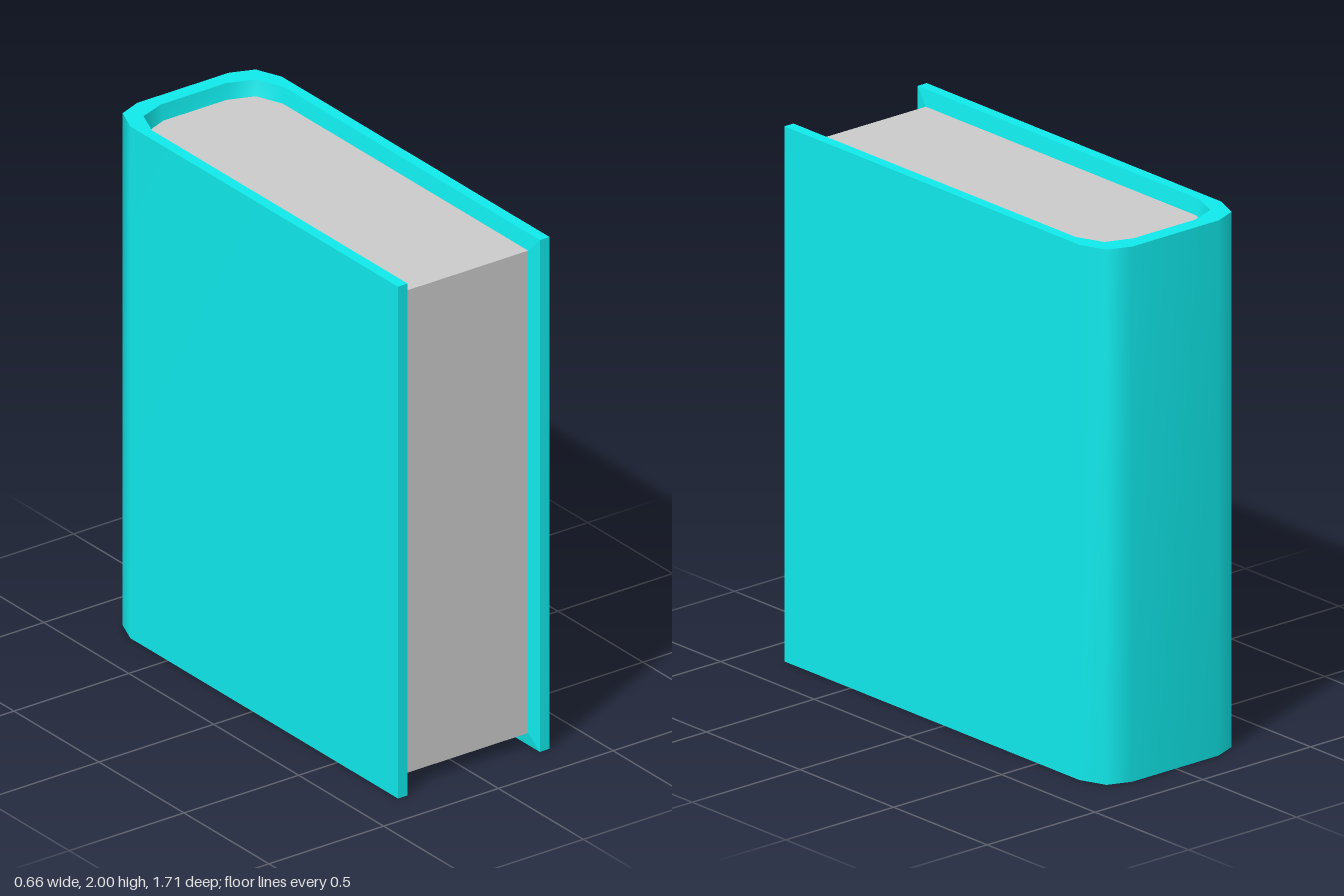
import * as THREE from 'three';
import { mergeGeometries } from 'three/addons/utils/BufferGeometryUtils.js';

const H = 2, PAGE_LOW = 0.055, PAGE_HIGH = 1.94;

// Half outlines in (x, z), running from the open edge back to the spine
const OUTER = [[0.33, 0.855], [0.33, -0.72], [0.29, -0.82], [0.2, -0.855]];
const RIM = [[0.288, 0.855], [0.288, -0.65], [0.245, -0.757], [0.142, -0.795]];
const PAGE = [[0.278, 0.8], [0.278, -0.645], [0.236, -0.747], [0.138, -0.785]];

const mirrored = (half) => [...half, ...half.map(([x, z]) => [-x, z]).reverse()];
const at = (outline, y) => outline.map(([x, z]) => [x, y, z]);

// Surface between two polylines with the same number of points
function strip(a, b) {
  const n = a.length, index = [];
  for (let i = 0; i < n - 1; i++) index.push(i, i + 1, n + i + 1, i, n + i + 1, n + i);
  const g = new THREE.BufferGeometry();
  g.setAttribute('position', new THREE.Float32BufferAttribute([...a, ...b].flat(), 3));
  g.setIndex(index);
  g.computeVertexNormals();
  return g;
}

export function createModel() {
  const group = new THREE.Group();
  const outer = mirrored(OUTER), rim = mirrored(RIM), page = mirrored(PAGE);

  // Cover: outer wall, top and bottom rims, and bevels leading in to the pages
  const parts = [
    strip(at(outer, 0), at(outer, H)),
    strip(at(outer, H), at(rim, H)),
    strip(at(rim, 0), at(outer, 0)),
    strip(at(rim, H), at(page, PAGE_HIGH)),
    strip(at(page, PAGE_LOW), at(rim, 0)),
  ];

  // Open edges of both boards, with their inner bevels
  for (const [o, r, p, flip] of [
    [outer[0], rim[0], page[0], false],
    [outer.at(-1), rim.at(-1), page.at(-1), true],
  ]) {
    const edge = flip ? [o, r] : [r, o];
    const bevelLow = [...at([p], PAGE_LOW), ...at([r], 0)];
    const bevelHigh = [...at([p], PAGE_HIGH), ...at([r], H)];
    if (flip) {
      bevelLow.reverse();
      bevelHigh.reverse();
    }
    parts.push(strip(at(edge, 0), at(edge, H)), strip(bevelLow, bevelHigh));
  }
  const cover = new THREE.Mesh(
    mergeGeometries(parts),
    new THREE.MeshStandardMaterial({ color: 0x10eaec })
  );
  cover.name = 'cover';
  group.add(cover);

  // Page block
  const shape = new THREE.Shape(page.map(([x, z]) => new THREE.Vector2(x, z)));
  const block = new THREE.ExtrudeGeometry(shape, { depth: PAGE_HIGH - PAGE_LOW, bevelEnabled: false });
  block.rotateX(Math.PI / 2).translate(0, PAGE_HIGH, 0);
  const pages = new THREE.Mesh(block, new THREE.MeshStandardMaterial({ color: 0xcccccc }));
  pages.name = 'pages';
  group.add(pages);

  return group;
}
